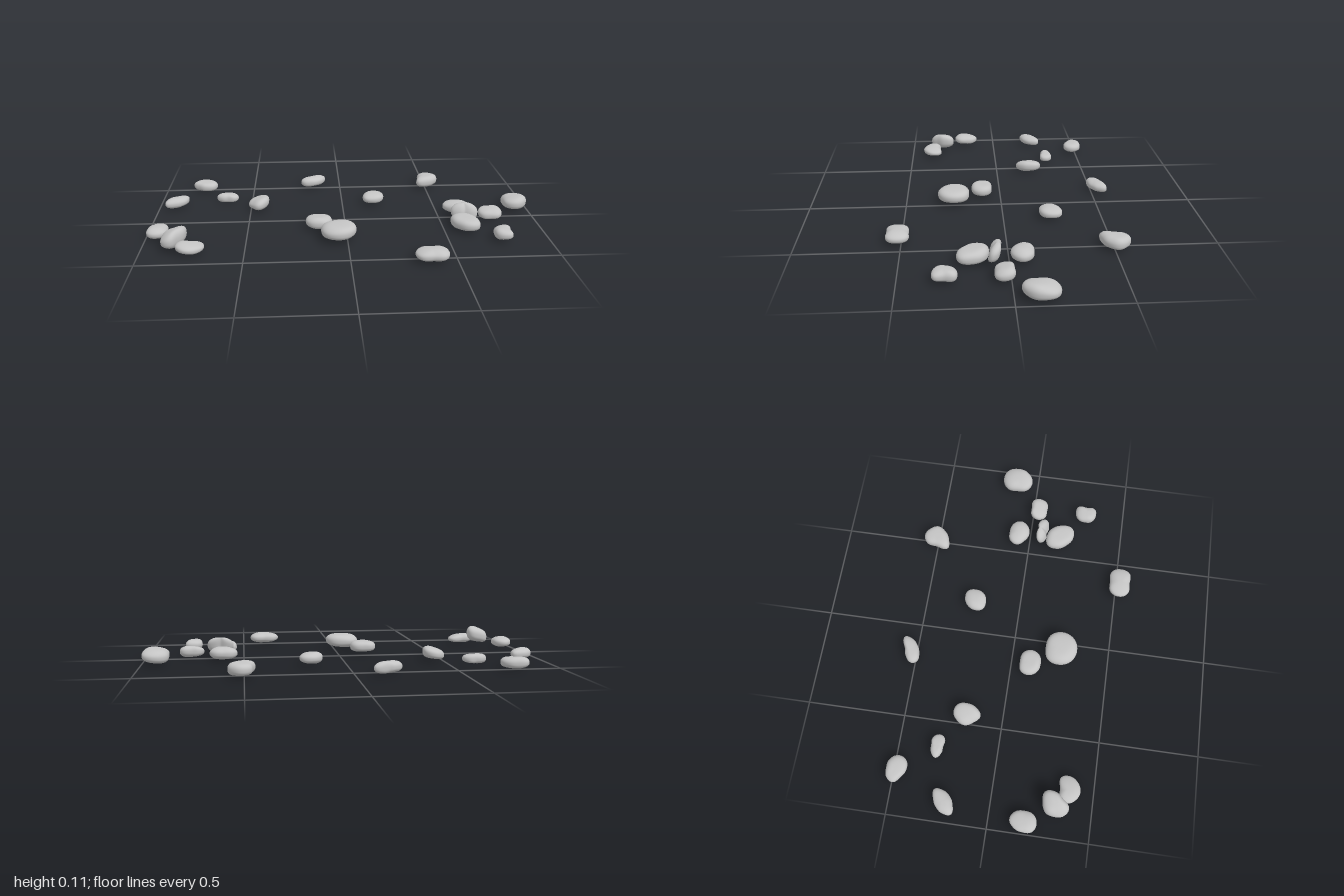
import * as THREE from 'three';
import { mergeVertices } from 'three/addons/utils/BufferGeometryUtils.js';

const stoneGrey = new THREE.MeshStandardMaterial({ color: 0xc4c4c4 });
stoneGrey.name = 'stone grey';

// smooth closed outline through eight radii; blending 1/r² keeps the sides full
function radiusAt(radii, angle) {
  const n = radii.length;
  const t = (((angle / (2 * Math.PI)) % 1) + 1) % 1 * n;
  const i = Math.floor(t), f = t - i;
  const [a, b, c, d] = [-1, 0, 1, 2].map((k) => radii[(i + k + n) % n] ** -2);
  const blend = b + 0.5 * f * (c - a + f * (2 * a - 5 * b + 4 * c - d + f * (3 * (b - c) + d - a)));
  return blend ** -0.5;
}

const soften = (v, power) => Math.sign(v) * Math.abs(v) ** power;

// radii are hundredths of a unit, from +x turning towards -z;
// slopeX and slopeZ tip the stone, shiftZ leans its top along z
function pebble(radii, low, high, slopeX, slopeZ, shiftZ, seed) {
  let geometry = new THREE.SphereGeometry(1, 40, 24);
  geometry.deleteAttribute('uv');
  geometry.deleteAttribute('normal');
  geometry = mergeVertices(geometry, 1e-5);
  const p = geometry.attributes.position;
  const half = (high - low) / 2;
  for (let i = 0; i < p.count; i++) {
    const x = p.getX(i), y = p.getY(i), z = p.getZ(i);
    const angle = Math.atan2(-z, x);
    const flat = Math.min(1, Math.hypot(x, z)) ** 0.74;
    const r = flat * radiusAt(radii, angle) / 100;
    const px = Math.cos(angle) * r, pz = -Math.sin(angle) * r;
    // gentle dents on the upper and lower faces
    const dent = 0.1 * Math.sin(2.6 * x + seed * 1.7) * Math.cos(2.9 * z + seed * 2.3);
    const up = half * soften(y, y < 0 ? 0.75 : 0.9) * (1 + dent);
    // the top tips more than the resting face
    const tip = 0.65 + 0.35 * y;
    p.setXYZ(i, px, up + tip * (slopeX * px + slopeZ * pz), pz + shiftZ * y);
  }
  // settle the stone between its lowest and highest point
  geometry.computeBoundingBox();
  const { min, max } = geometry.boundingBox;
  const scale = (high - low) / (max.y - min.y);
  for (let i = 0; i < p.count; i++) p.setY(i, low + (p.getY(i) - min.y) * scale);
  geometry.computeVertexNormals();
  return geometry;
}

export function createModel() {
  const group = new THREE.Group();
  group.name = 'scatteredPebbles';
  let count = 0;

  function add(x, z, radii, high, { low = 0.006, slopeX = 0, slopeZ = 0, shiftZ = 0 } = {}) {
    count++;
    const mesh = new THREE.Mesh(pebble(radii, low, high, slopeX, slopeZ, shiftZ, count), stoneGrey);
    mesh.name = `pebble${count}`;
    mesh.position.set(x, 0, z);
    group.add(mesh);
  }

  // back row
  add(-0.78, -0.485, [7, 6, 5, 6, 6.5, 4.5, 5, 6.5], 0.06);
  add(-0.16, -0.53, [6.5, 7, 3, 3.5, 6, 6.5, 4.5, 4.5], 0.06);
  add(0.515, -0.51, [6, 6, 6.8, 6.5, 5.5, 9.2, 6.5, 5.5], 0.068);

  // middle left
  add(-0.636, -0.305, [6, 4.5, 3, 4, 6, 4, 3, 5], 0.048, { low: 0 });
  add(-0.905, -0.23, [5.5, 7.5, 4.5, 4, 5.2, 7.5, 5, 4.5], 0.06);
  add(-0.457, -0.187, [5.5, 6.5, 6.5, 5.5, 5.5, 5.5, 7.5, 6], 0.07, { slopeX: 0.28 });

  // middle right
  add(0.168, -0.24, [6.2, 6.8, 5.6, 5, 5.3, 6.3, 5.8, 6], 0.063);
  add(0.602, -0.064, [7, 6, 5.2, 6.5, 7, 5.5, 5.7, 6.3], 0.07);
  add(0.928, -0.112, [7, 8.5, 8.5, 7.5, 6, 7.5, 8, 7], 0.08, { slopeX: 0.08, slopeZ: 0.1 });

  // upright stone wedged between its neighbours
  add(0.62, 0.065, [6.5, 3.3, 1.8, 3.8, 6.5, 3, 1.8, 4], 0.103, { low: 0.015, shiftZ: -0.012 });

  // right cluster
  add(0.763, 0.028, [6.5, 6, 4.3, 5.5, 6, 5.5, 4.5, 6], 0.066, { slopeZ: -0.2 });
  add(0.608, 0.157, [6.5, 6, 6.5, 8, 7, 6.5, 8, 9], 0.072);
  add(0.768, 0.292, [4.2, 6.3, 5.7, 5, 4.3, 5, 5.5, 6], 0.062);

  // centre pair
  add(-0.14, 0.098, [7, 6.5, 5.3, 6.5, 6.5, 6, 5.6, 6.5], 0.066);
  add(-0.045, 0.248, [9, 9, 8, 9, 8.5, 8.5, 8.5, 8.8], 0.085, { low: 0.012, slopeX: 0.06 });

  // left cluster, its middle stone propped up on the others
  add(-0.943, 0.175, [5.3, 6.3, 7, 5.5, 5, 6.3, 6.5, 6], 0.062);
  add(-0.847, 0.315, [6.2, 8, 6, 5.7, 5.3, 6.5, 7, 5], 0.106, { low: 0.015, slopeX: 0.4 });
  add(-0.762, 0.375, [7, 7, 4.3, 6, 6.5, 5.8, 5.8, 6], 0.058, { slopeX: -0.1 });

  // front stone
  add(0.38, 0.518, [8, 7.5, 5.3, 7, 8, 7.3, 5.3, 7.5], 0.064);

  return group;
}
